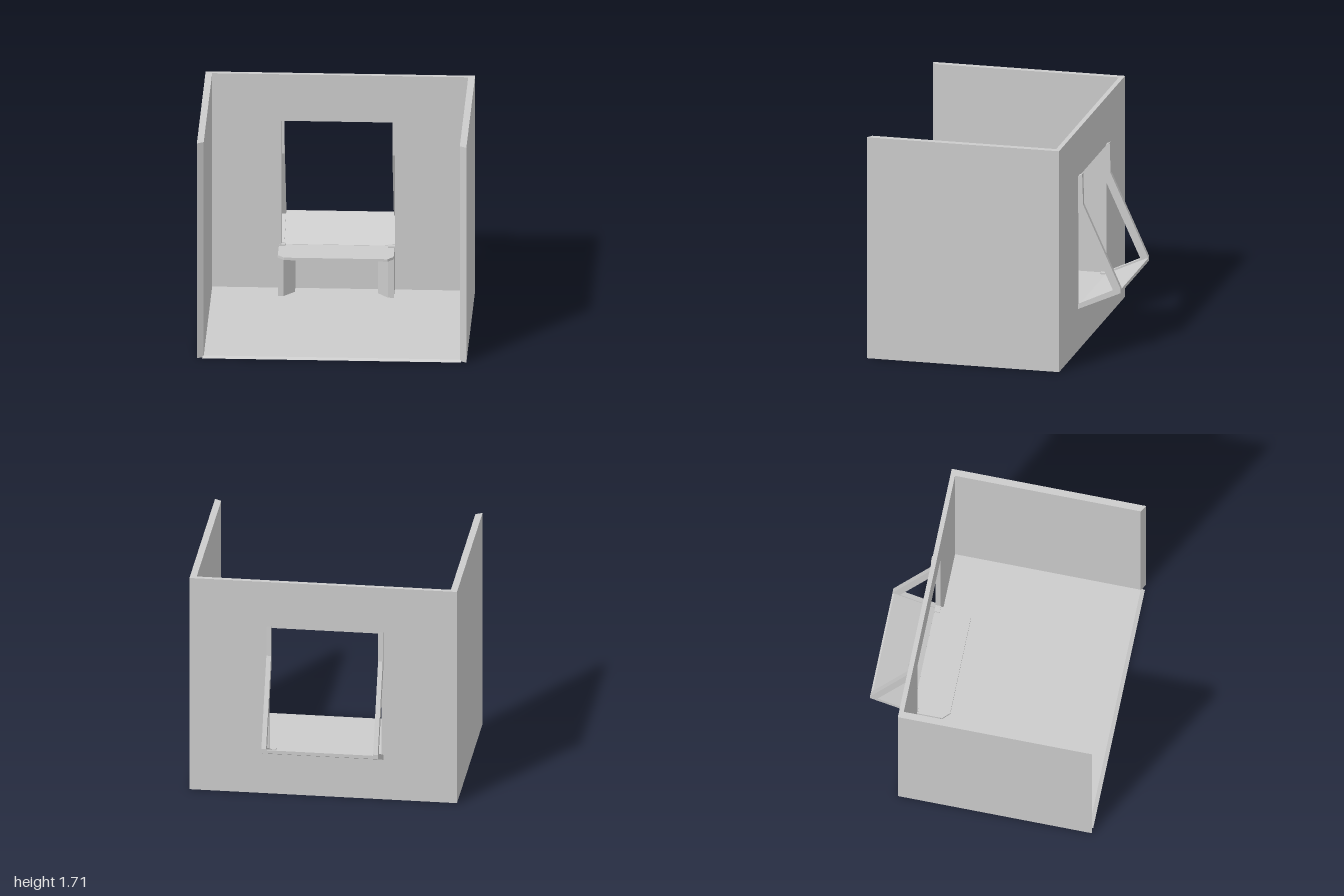
import * as THREE from 'three';

const BACK = -0.575, WALL_IN = -0.54, TOP = 1.71;

function shapeOf(points) {
  return new THREE.Shape(points.map(([a, b]) => new THREE.Vector2(a, b)));
}

// Outline in [x, z], raised from y0 to y1
function raisePlan(points, y0, y1) {
  const shape = shapeOf(points.map(([x, z]) => [x, -z]));
  const g = new THREE.ExtrudeGeometry(shape, { depth: y1 - y0, bevelEnabled: false });
  return g.rotateX(-Math.PI / 2).translate(0, y0, 0);
}

// Outline in [z, y], stretched from x0 to x1
function stretchProfile(points, x0, x1) {
  const shape = shapeOf(points.map(([z, y]) => [-z, y]));
  const g = new THREE.ExtrudeGeometry(shape, { depth: x1 - x0, bevelEnabled: false });
  return g.rotateY(Math.PI / 2).translate(x0, 0, 0);
}

export function createModel() {
  const model = new THREE.Group();
  model.name = 'windowRoom';
  const grey = new THREE.MeshStandardMaterial({ color: 0xcccccc });
  grey.name = 'plain grey';

  const add = (name, geometry) => {
    const mesh = new THREE.Mesh(geometry, grey);
    mesh.name = name;
    model.add(mesh);
  };

  // Side walls with slanted front ends
  for (const s of [-1, 1]) {
    add(s < 0 ? 'rightWall' : 'leftWall', raisePlan([
      [s, BACK], [s, 0.895], [s * 0.95, 0.865], [s * 0.95, WALL_IN],
    ], 0, TOP));
  }

  // Back wall with the window opening
  const wall = shapeOf([[-0.95, 0], [0.95, 0], [0.95, TOP], [-0.95, TOP]]);
  wall.holes.push(shapeOf([[-0.435, 0.325], [-0.435, 1.34], [0.405, 1.34], [0.405, 0.325]]));
  const wallGeometry = new THREE.ExtrudeGeometry(wall, { depth: WALL_IN - BACK, bevelEnabled: false });
  add('backWall', wallGeometry.translate(0, 0, BACK));
  // Corner fillers where back and side walls meet
  for (const s of [-1, 1]) {
    add('wallCorner', raisePlan([[s, BACK], [s * 0.95, WALL_IN], [s * 0.95, BACK]], 0, TOP));
  }

  // Floor with a slanted front edge
  add('floor', stretchProfile([
    [BACK, 0], [0.895, 0], [0.865, 0.012], [BACK, 0.012],
  ], -0.96, 0.96));

  // Bent rails outside the window
  const rail = [
    [BACK, 1.35], [-0.605, 1.365], [-0.612, 1.13], [-0.898, 0.5], [-0.898, 0.465],
    [BACK, 0.32], [BACK, 0.36], [-0.84, 0.485], [BACK, 1.065],
  ];
  add('rightRail', stretchProfile(rail, -0.45, -0.415));
  add('leftRail', stretchProfile(rail, 0.385, 0.42));

  // Sloping ledge between the rails, running in to the sill
  add('ledge', stretchProfile([
    [BACK, 0.32], [BACK, 0.347], [-0.885, 0.491], [-0.898, 0.491], [-0.898, 0.465],
  ], -0.415, 0.385));
  add('sill', raisePlan([
    [-0.435, BACK], [0.405, BACK], [0.405, WALL_IN], [-0.435, WALL_IN],
  ], 0.325, 0.345));

  // Bench top with cut front corners
  add('benchTop', raisePlan([
    [-0.455, WALL_IN], [-0.455, -0.35], [-0.405, -0.3],
    [0.36, -0.3], [0.405, -0.35], [0.405, WALL_IN],
  ], 0.325, 0.345));

  // Bench legs, mirrored about the bench centre, with small pads above
  const mid = -0.025;
  for (const s of [-1, 1]) {
    const at = (d, z) => [mid + s * d, z];
    add('benchLeg', raisePlan([
      at(0.43, WALL_IN), at(0.43, -0.37), at(0.387, -0.37), at(0.308, -0.46), at(0.308, WALL_IN),
    ], 0.01, 0.325));
    add('railPad', raisePlan([
      at(0.43, BACK), at(0.43, -0.535), at(0.38, -0.535), at(0.38, BACK),
    ], 0.345, 0.357));
  }
  return model;
}
